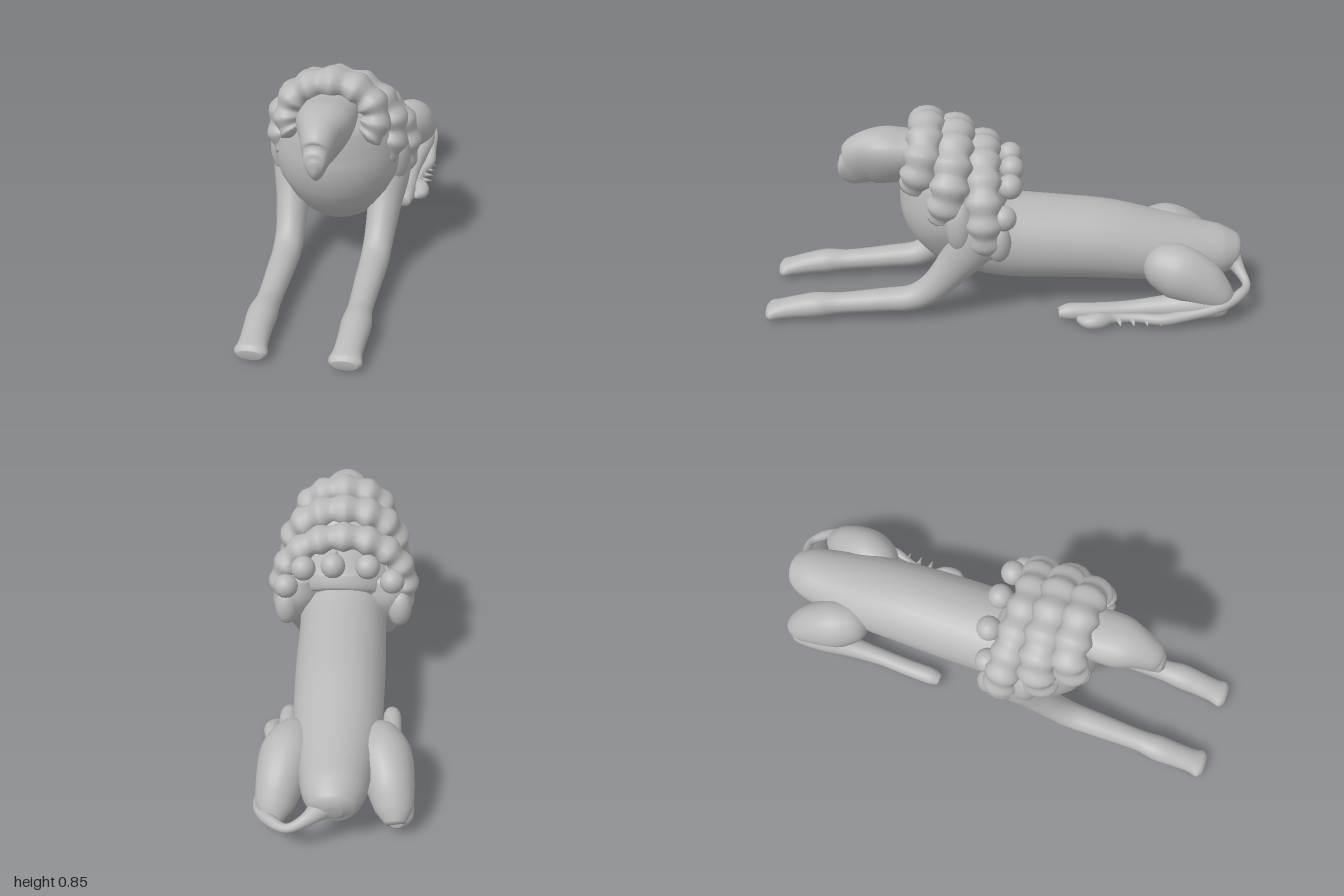
import * as THREE from 'three';

const stone = new THREE.MeshStandardMaterial({ color: 0xb8b8b8 });
stone.name = 'grey stone';

// Skin a smooth surface over oval sections [x, y, z, halfWidth, halfHeight].
// wedge widens the upper half; ref is the direction the width is measured along.
function loft(name, rows, { steps = 6, sides = 24, wedge = 0, ref = [1, 0, 0] } = {}) {
  const path = new THREE.CatmullRomCurve3(rows.map(r => new THREE.Vector3(r[0], r[1], r[2])), false, 'centripetal');
  const size = new THREE.CatmullRomCurve3(rows.map((r, i) => new THREE.Vector3(r[3], r[4], i * 0.05)), false, 'centripetal');
  const n = (rows.length - 1) * steps, pos = [], index = [];
  const axis = new THREE.Vector3(...ref);
  for (let i = 0; i <= n; i++) {
    const c = path.getPoint(i / n), s = size.getPoint(i / n), t = path.getTangent(i / n);
    const side = axis.clone().addScaledVector(t, -axis.dot(t)).normalize();
    const up = t.clone().cross(side);
    for (let j = 0; j < sides; j++) {
      const a = (j / sides) * Math.PI * 2, sn = Math.sin(a);
      const p = c.clone()
        .addScaledVector(side, Math.cos(a) * Math.max(s.x, 0.001) * (1 + wedge * sn))
        .addScaledVector(up, sn * Math.max(s.y, 0.001));
      pos.push(p.x, Math.max(p.y, 0), p.z);
      if (i < n) {
        const k = i * sides, q = (j + 1) % sides;
        index.push(k + j, k + q, k + sides + j, k + q, k + sides + q, k + sides + j);
      }
    }
  }
  // close both ends
  for (const [i, c] of [[0, rows[0]], [n, rows[rows.length - 1]]]) {
    const m = pos.length / 3;
    pos.push(c[0], c[1], c[2]);
    for (let j = 0; j < sides; j++) {
      const a = i * sides + j, b = i * sides + (j + 1) % sides;
      index.push(m, ...(i ? [a, b] : [b, a]));
    }
  }
  const g = new THREE.BufferGeometry();
  g.setAttribute('position', new THREE.Float32BufferAttribute(pos, 3));
  g.setIndex(index);
  g.computeVertexNormals();
  const mesh = new THREE.Mesh(g, stone);
  mesh.name = name;
  return mesh;
}

const mirror = (rows, s) => rows.map(([x, ...rest]) => [x * s, ...rest]);

// One lumpy arch of curls, draped over the neck and open underneath
function maneRow(name, { rx, ry, yc, r, reach, zTop, zEnd, lumps }) {
  const rows = [], n = lumps * 4;
  for (let i = 0; i <= n; i++) {
    const u = (i / n) * 2 - 1, a = u * reach;
    const bump = 1 + 0.13 * Math.cos(i * Math.PI / 2);
    const end = Math.abs(u) === 1 ? 0.1 : 1;
    rows.push([Math.sin(a) * rx, yc + Math.cos(a) * ry, zTop + (zEnd - zTop) * u * u,
      r * 1.25 * bump * end, r * bump * end]);
  }
  return loft(name, rows, { steps: 2, sides: 16, ref: [0, 0, 1] });
}

function ball(name, x, y, z, r, sx = 1, sy = 1, sz = 1) {
  const m = new THREE.Mesh(new THREE.SphereGeometry(r, 20, 14), stone);
  m.name = name;
  m.position.set(x, y, z);
  m.scale.set(sx, sy, sz);
  return m;
}

export function createModel() {
  const lion = new THREE.Group();
  lion.name = 'recliningLion';

  // Trunk, from rump to shoulders
  lion.add(loft('body', [
    [0, 0.20, -0.975, 0.03, 0.03],
    [0, 0.205, -0.955, 0.08, 0.075],
    [0, 0.21, -0.89, 0.115, 0.105],
    [0, 0.22, -0.78, 0.135, 0.12],
    [0, 0.24, -0.6, 0.165, 0.145],
    [0, 0.27, -0.4, 0.175, 0.165],
    [0, 0.285, -0.2, 0.18, 0.172],
    [0, 0.30, 0, 0.18, 0.18],
    [0, 0.33, 0.13, 0.18, 0.175],
    [0, 0.36, 0.24, 0.12, 0.12],
  ]));

  // Chest rising into the neck
  lion.add(loft('chest', [
    [0, 0.29, 0.02, 0.13, 0.12],
    [0, 0.35, 0.14, 0.20, 0.20],
    [0, 0.46, 0.21, 0.245, 0.225],
    [0, 0.58, 0.25, 0.225, 0.20],
    [0, 0.68, 0.29, 0.17, 0.15],
    [0, 0.74, 0.32, 0.08, 0.07],
  ]));

  // Head tapering into the muzzle
  lion.add(loft('head', [
    [0, 0.67, 0.30, 0.09, 0.09],
    [0, 0.66, 0.42, 0.10, 0.11],
    [0, 0.66, 0.50, 0.095, 0.118],
    [0, 0.645, 0.575, 0.065, 0.11],
    [0, 0.615, 0.635, 0.045, 0.082],
    [0, 0.61, 0.67, 0.035, 0.05],
    [0, 0.61, 0.683, 0.012, 0.02],
  ], { wedge: 0.4 }));

  // Three tiers of mane
  lion.add(maneRow('frontMane', { rx: 0.165, ry: 0.125, yc: 0.67, r: 0.054, reach: 2.25, zTop: 0.32, zEnd: 0.37, lumps: 8 }));
  lion.add(maneRow('middleMane', { rx: 0.215, ry: 0.175, yc: 0.58, r: 0.058, reach: 2.2, zTop: 0.21, zEnd: 0.26, lumps: 10 }));
  lion.add(maneRow('rearMane', { rx: 0.255, ry: 0.215, yc: 0.475, r: 0.052, reach: 2.3, zTop: 0.10, zEnd: 0.09, lumps: 12 }));

  // Loose curl balls behind the mane, each on a short stem
  for (const [x, y, z] of [[-0.10, 0.615, -0.01], [0.04, 0.62, -0.015], [0.16, 0.60, -0.005], [-0.20, 0.53, 0.02], [0.235, 0.50, 0.02]]) {
    lion.add(ball('maneCurl', x, y, z, 0.05));
    lion.add(loft('curlStem', [[x, y, z, 0.025, 0.025], [x * 0.98, y + 0.01, 0.06, 0.02, 0.02], [x * 0.95, y + 0.02, 0.12, 0.03, 0.03]], { sides: 10 }));
  }

  for (const [s, side] of [[1, 'left'], [-1, 'right']]) {
    // Hanging locks over the shoulder
    lion.add(ball(side + 'LowerLock', 0.235 * s, 0.39, 0.04, 0.055, 0.9, 1.5, 0.9));
    lion.add(ball(side + 'SideLock', 0.22 * s, 0.46, 0.19, 0.065, 0.9, 1.8, 0.9));

    // Foreleg: shoulder, elbow, forearm, paw
    lion.add(loft(side + 'Foreleg', mirror([
      [0.17, 0.54, 0.07, 0.05, 0.05],
      [0.185, 0.46, 0.10, 0.09, 0.10],
      [0.19, 0.36, 0.15, 0.085, 0.10],
      [0.185, 0.25, 0.225, 0.067, 0.075],
      [0.178, 0.15, 0.31, 0.058, 0.06],
      [0.175, 0.10, 0.39, 0.056, 0.052],
      [0.172, 0.085, 0.52, 0.052, 0.047],
      [0.17, 0.07, 0.70, 0.046, 0.043],
      [0.172, 0.065, 0.79, 0.055, 0.05],
      [0.17, 0.055, 0.87, 0.052, 0.045],
      [0.167, 0.043, 0.94, 0.052, 0.038],
      [0.166, 0.035, 0.98, 0.06, 0.033],
      [0.166, 0.032, 0.998, 0.045, 0.02],
    ], s)));

    // Haunch folding back to the hock
    lion.add(loft(side + 'Haunch', mirror([
      [0.12, 0.235, -0.57, 0.04, 0.045],
      [0.145, 0.23, -0.61, 0.085, 0.09],
      [0.175, 0.21, -0.69, 0.105, 0.115],
      [0.20, 0.165, -0.79, 0.09, 0.10],
      [0.215, 0.115, -0.865, 0.068, 0.065],
      [0.22, 0.085, -0.905, 0.035, 0.035],
    ], s)));

    // Lower hind leg lying forward along the ground
    lion.add(loft(side + 'HindFoot', mirror([
      [0.22, 0.09, -0.90, 0.025, 0.025],
      [0.225, 0.085, -0.86, 0.06, 0.05],
      [0.225, 0.085, -0.75, 0.06, 0.058],
      [0.215, 0.065, -0.62, 0.045, 0.045],
      [0.21, 0.052, -0.48, 0.036, 0.034],
      [0.212, 0.048, -0.36, 0.036, 0.032],
      [0.212, 0.045, -0.25, 0.036, 0.034],
      [0.212, 0.04, -0.205, 0.025, 0.02],
    ], s)));
  }

  // Tail looping around the left haunch, ending in a tuft
  lion.add(loft('tail', [
    [0.03, 0.20, -0.93, 0.05, 0.05],
    [0.09, 0.16, -0.965, 0.025, 0.025],
    [0.16, 0.13, -0.983, 0.017, 0.017],
    [0.22, 0.12, -0.94, 0.022, 0.022],
    [0.27, 0.10, -0.86, 0.022, 0.022],
    [0.275, 0.065, -0.73, 0.024, 0.024],
    [0.28, 0.045, -0.62, 0.024, 0.024],
    [0.255, 0.038, -0.53, 0.02, 0.02],
    [0.25, 0.035, -0.43, 0.02, 0.02],
    [0.268, 0.037, -0.37, 0.034, 0.034],
    [0.27, 0.035, -0.32, 0.028, 0.034],
    [0.25, 0.035, -0.28, 0.012, 0.012],
  ], { sides: 14, ref: [0, 1, 0] }));

  // Small tufts along the tail
  for (const z of [-0.615, -0.56, -0.505, -0.45]) {
    const tuft = new THREE.Mesh(new THREE.ConeGeometry(0.018, 0.06, 10), stone);
    tuft.name = 'tailTuft';
    tuft.position.set(0.28, 0.035, z);
    tuft.rotation.z = -Math.PI / 2;
    lion.add(tuft);
  }
  return lion;
}
